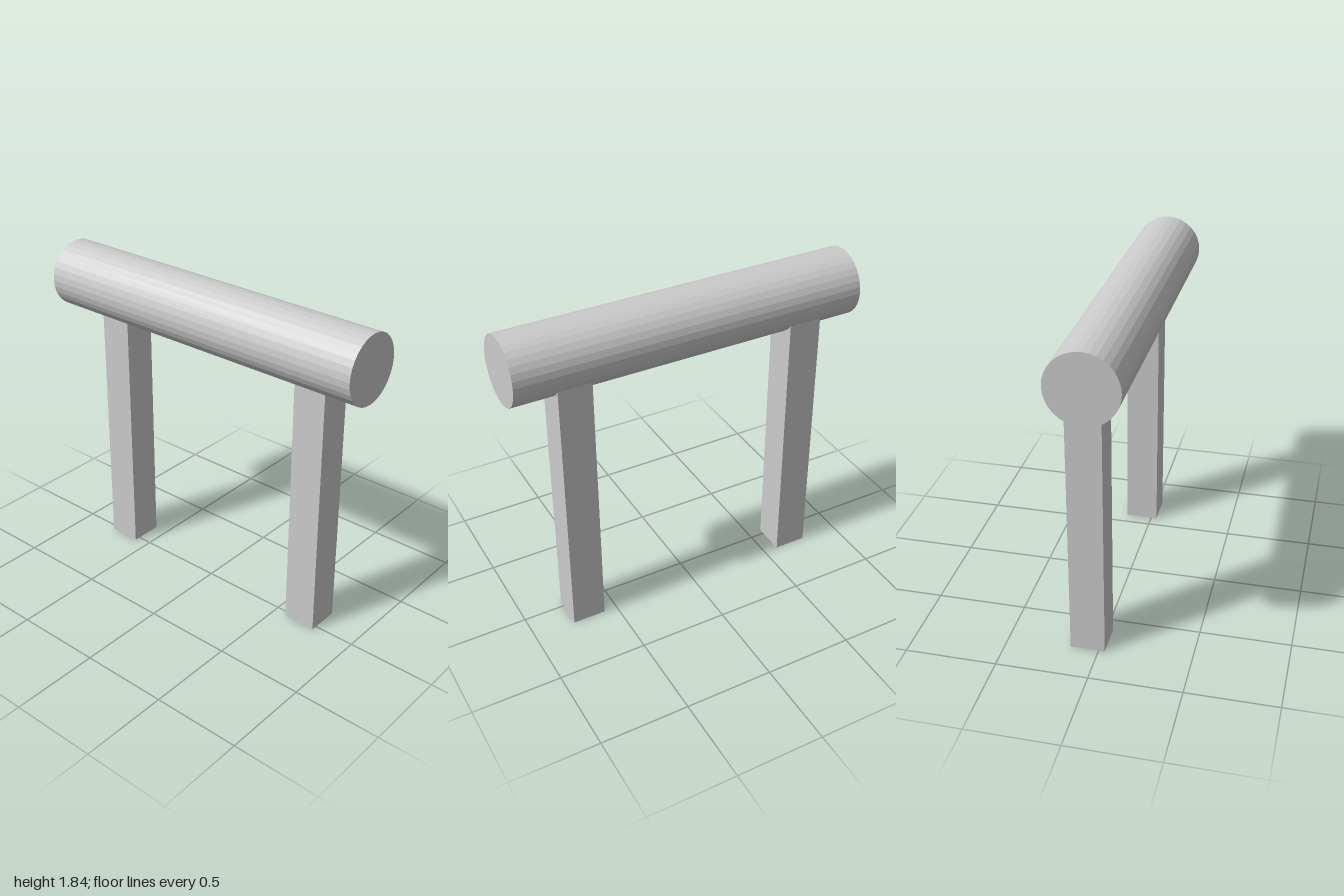
import * as THREE from 'three';

export function createModel() {
  const group = new THREE.Group();
  const material = new THREE.MeshStandardMaterial({ color: 0xcccccc, flatShading: true });

  const add = (name, geometry, x, y, z) => {
    const mesh = new THREE.Mesh(geometry, material);
    mesh.name = name;
    mesh.position.set(x, y, z);
    group.add(mesh);
  };

  // Horizontal round beam running front to back
  const radius = 0.188;
  const beamY = 1.652;
  add('beam', new THREE.CylinderGeometry(radius, radius, 2, 32).rotateX(Math.PI / 2), 0, beamY, 0);

  // Square posts, set slightly to the left, ending inside the beam
  const postHeight = 1.62;
  const postSize = 0.188;
  const post = new THREE.BoxGeometry(postSize, postHeight, postSize);
  add('frontPost', post, 0.06, postHeight / 2, 0.67);
  add('backPost', post, 0.06, postHeight / 2, -0.68);

  return group;
}
